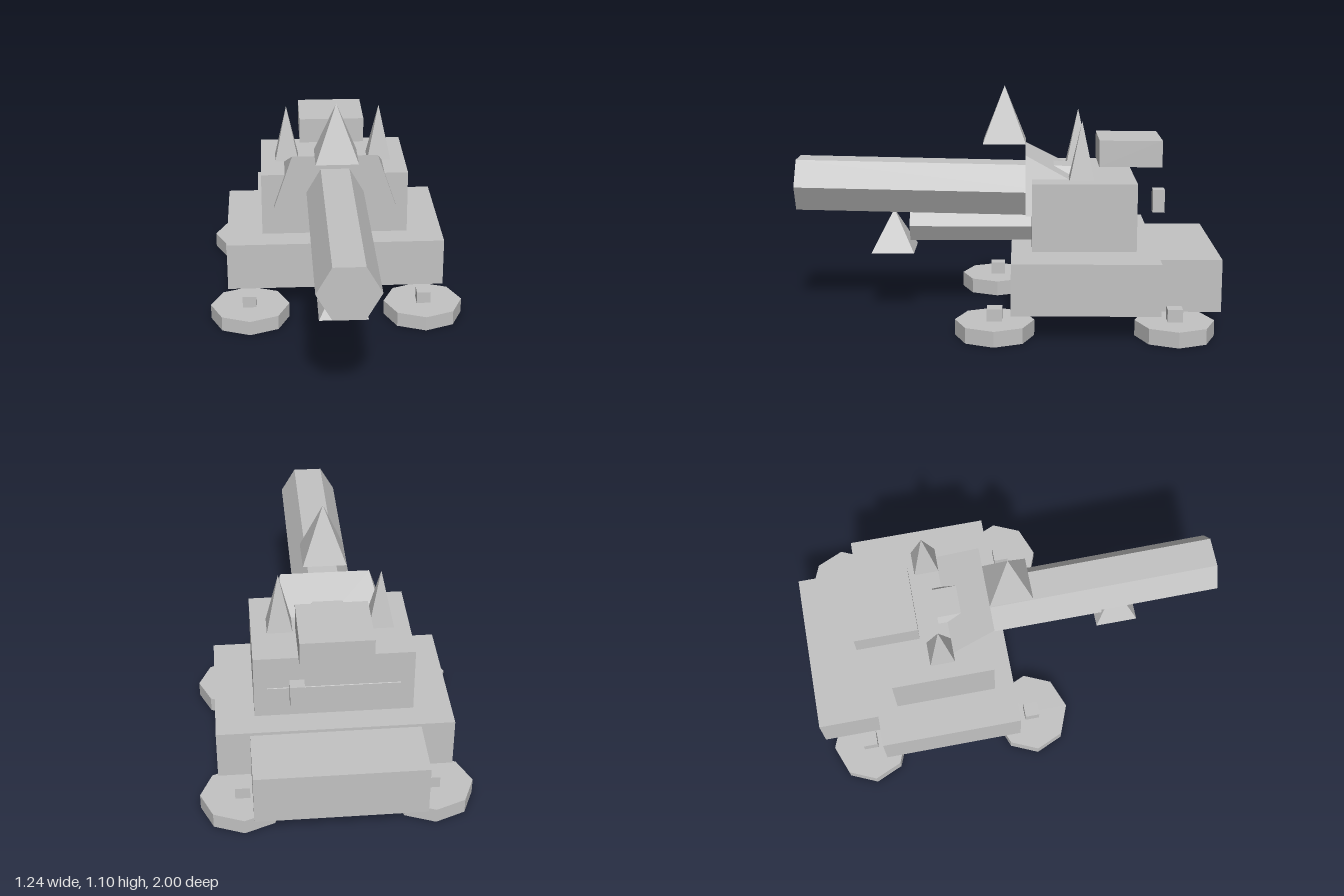
import * as THREE from 'three';
import { ConvexGeometry } from 'three/addons/geometries/ConvexGeometry.js';

export function createModel() {
  const model = new THREE.Group();
  const grey = new THREE.MeshStandardMaterial({ color: 0xc2c2c2, flatShading: true });
  grey.name = 'plainGrey';

  const add = (name, geometry, x = 0, y = 0, z = 0) => {
    const mesh = new THREE.Mesh(geometry, grey);
    mesh.name = name;
    mesh.position.set(x, y, z);
    model.add(mesh);
    return mesh;
  };

  // box from its lower and upper corners
  const box = (name, [x0, y0, z0], [x1, y1, z1]) =>
    add(name, new THREE.BoxGeometry(x1 - x0, y1 - y0, z1 - z0),
      (x0 + x1) / 2, (y0 + y1) / 2, (z0 + z1) / 2);

  // four-sided spike, base square to the axes
  const spike = (name, x, y0, y1, z, halfX, halfZ = halfX) => {
    const g = new THREE.ConeGeometry(Math.SQRT2, y1 - y0, 4).rotateY(Math.PI / 4);
    g.scale(halfX, 1, halfZ);
    return add(name, g, x, (y0 + y1) / 2, z);
  };

  // six-sided tube along z, flat on top
  const hexTube = (name, radius, y, z0, z1) => {
    const g = new THREE.CylinderGeometry(radius, radius, z1 - z0, 6);
    g.rotateY(Math.PI / 6).rotateX(Math.PI / 2);
    return add(name, g, 0, y, (z0 + z1) / 2);
  };

  // hull and turret blocks
  box('hull', [-0.537, 0.12, -0.71], [0.537, 0.36, -0.035]);
  box('rearBlock', [-0.385, 0.1, -1], [0.385, 0.345, -0.64]);
  box('turretMount', [-0.275, 0.34, -0.585], [0.275, 0.4, -0.435]);
  box('turret', [-0.36, 0.375, -0.61], [0.36, 0.69, -0.13]);
  box('roofBox', [-0.162, 0.735, -0.74], [0.162, 0.86, -0.445]);
  box('rearStud', [0.14, 0.527, -0.75], [0.205, 0.635, -0.695]);

  // sloped wedge around the gun
  const wedge = [];
  for (const s of [-1, 1]) {
    wedge.push(
      new THREE.Vector3(s * 0.3, 0.527, -0.1),
      new THREE.Vector3(s * 0.3, 0.527, -0.613),
      new THREE.Vector3(s * 0.208, 0.797, -0.1));
  }
  add('gunWedge', new ConvexGeometry(wedge));

  // gun barrel, raised slightly at the muzzle, and the tube under it
  hexTube('barrel', 0.14, 0.616, -0.345, 0.998).rotation.x = -0.02;
  hexTube('lowerTube', 0.09, 0.433, -0.165, 0.455);

  // spikes
  spike('topSpike', 0, 0.832, 1.1, 0, 0.102);
  spike('lowerSpike', 0, 0.304, 0.5, 0.535, 0.112, 0.102);

  for (const side of [-1, 1]) {
    spike('turretSpike', side * 0.23, 0.685, 0.962, -0.36, 0.059);

    // octagonal feet with square pegs
    for (const z of [0.04, -0.782]) {
      const foot = new THREE.CylinderGeometry(1, 1, 0.073, 8).scale(0.194, 1, 0.182);
      add('foot', foot, side * 0.428, 0.0365, z);
      add('footPeg', new THREE.BoxGeometry(0.068, 0.066, 0.07), side * 0.43, 0.098, z);
    }
  }

  return model;
}
